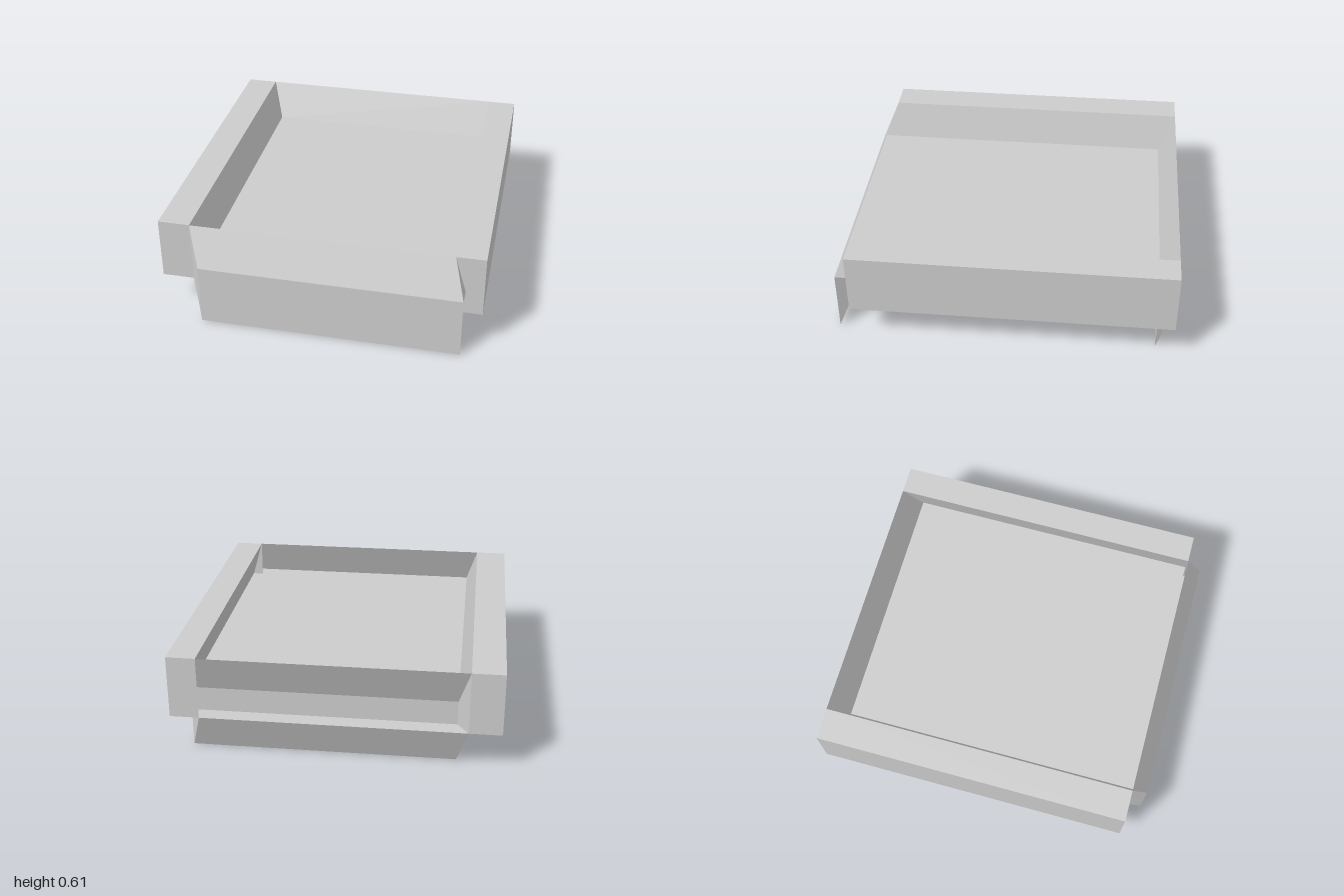
import * as THREE from 'three';

// Open tray: two side rails on a base plate, with a trough sheared between them.
const X = 0.95, XL = -0.761, XR = 0.779;      // outer sides, trough opening
const TOP = 0.605, BASE = 0.23;
const BACK = -1, FRONT = 0.902;
const SHIFT = [0.066, -0.23, 0.098];          // offset of the trough panels

export function createModel() {
  const group = new THREE.Group();
  const grey = new THREE.MeshStandardMaterial({ color: 0xcccccc, side: THREE.DoubleSide });
  grey.name = 'light grey';

  const moved = (p) => p.map((v, i) => v + SHIFT[i]);

  // Flat four-cornered panel, counter-clockwise from its front
  function panel(name, a, b, c, d) {
    const g = new THREE.BufferGeometry();
    g.setAttribute('position', new THREE.Float32BufferAttribute([a, b, c, a, c, d].flat(), 3));
    g.computeVertexNormals();
    const mesh = new THREE.Mesh(g, grey);
    mesh.name = name;
    group.add(mesh);
  }
  // Slanted panel joining an edge to its shifted copy
  const slant = (name, a, b) => panel(name, a, moved(a), moved(b), b);

  // Base plate
  panel('basePlate', [-X, BASE, BACK], [X, BASE, BACK], [X, BASE, FRONT], [-X, BASE, FRONT]);

  // Side rails, open towards the trough
  for (const [side, x0, x1] of [['right', -X, XL], ['left', XR, X]]) {
    panel(side + 'RailTop', [x0, TOP, FRONT], [x1, TOP, FRONT], [x1, TOP, BACK], [x0, TOP, BACK]);
    panel(side + 'RailFront', [x0, BASE, FRONT], [x1, BASE, FRONT], [x1, TOP, FRONT], [x0, TOP, FRONT]);
    panel(side + 'RailBack', [x1, BASE, BACK], [x0, BASE, BACK], [x0, TOP, BACK], [x1, TOP, BACK]);
  }
  panel('rightRailSide', [-X, BASE, BACK], [-X, BASE, FRONT], [-X, TOP, FRONT], [-X, TOP, BACK]);
  panel('leftRailSide', [X, BASE, FRONT], [X, BASE, BACK], [X, TOP, BACK], [X, TOP, FRONT]);

  // Corners of the opening between the rails
  const bl = [XL, TOP, BACK], br = [XR, TOP, BACK], fr = [XR, TOP, FRONT], fl = [XL, TOP, FRONT];
  const low = (p) => [p[0], BASE, p[2]];

  // Shifted trough panels
  panel('trayFloor', ...[fl, fr, br, bl].map(moved));
  panel('frontPanel', ...[low(fl), low(fr), fr, fl].map(moved));
  panel('backPanel', ...[low(br), low(bl), bl, br].map(moved));

  // Slanted walls around the floor
  slant('trayRightWall', bl, fl);
  slant('trayLeftWall', fr, br);
  slant('trayBackWall', br, bl);
  slant('trayFrontWall', fl, fr);

  // Slanted ends and undersides of the front and back panels
  slant('frontRightEnd', low(fl), fl);
  slant('frontLeftEnd', fr, low(fr));
  slant('frontUnderside', low(fr), low(fl));
  slant('backRightEnd', bl, low(bl));
  slant('backLeftEnd', low(br), br);
  slant('backUnderside', low(bl), low(br));

  return group;
}
